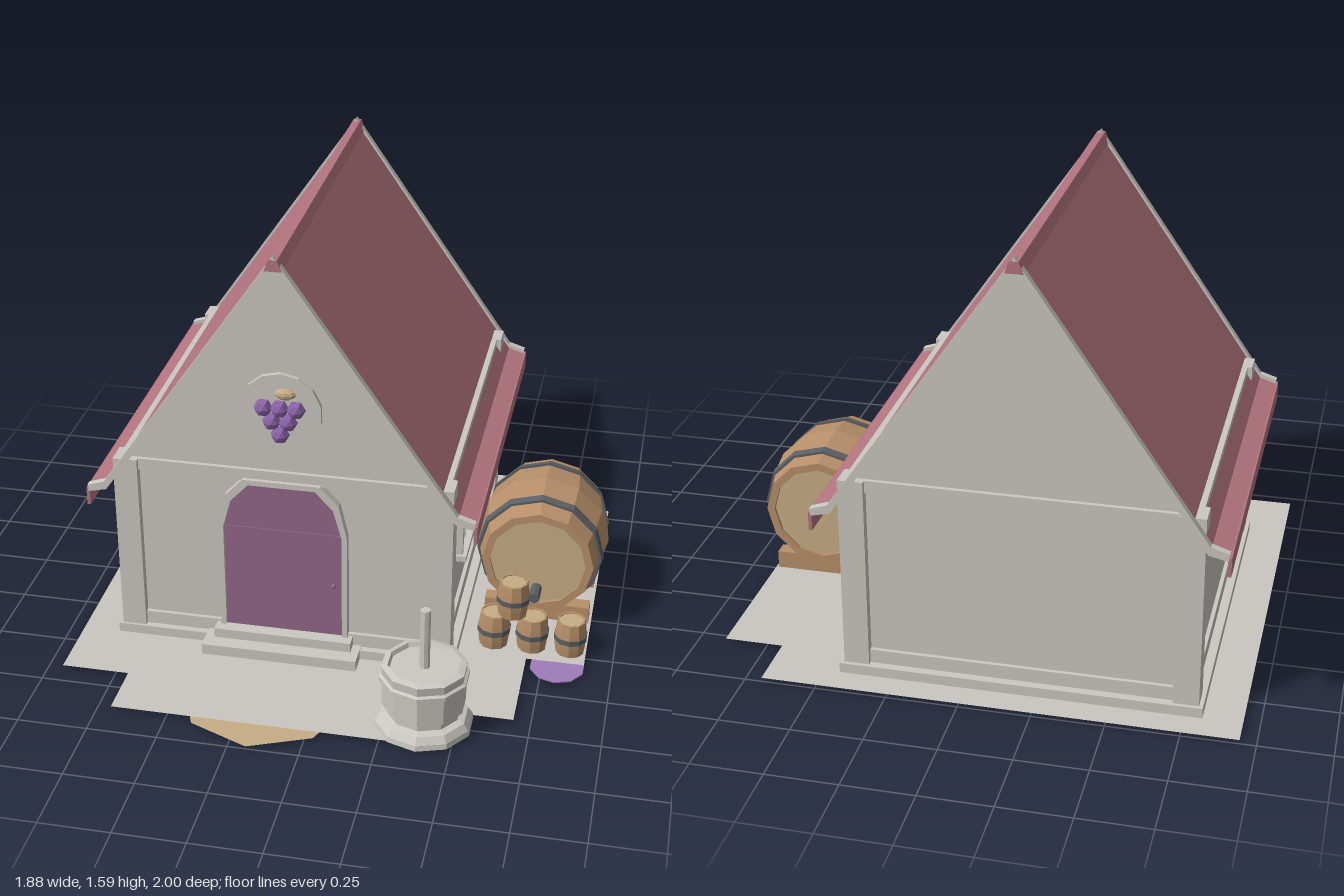
import * as THREE from 'three';

const CX = -0.185, CZ = -0.235; // house centre

export function createModel() {
  const root = new THREE.Group();
  root.name = 'wineryHouse';
  const mat = (name, color, extra = {}) => {
    const m = new THREE.MeshStandardMaterial({ color, flatShading: true, ...extra });
    m.name = name;
    return m;
  };
  const stone = mat('stone', 0xccc8c2);
  const ground = mat('ground', 0xcac6c0, { side: THREE.DoubleSide });
  const roofRed = mat('roofRed', 0xb4757f);
  const doorPurple = mat('doorPurple', 0x936789);
  const grape = mat('grape', 0x8a62a5);
  const wood = mat('wood', 0xb8906a);
  const tan = mat('tan', 0xc8ad86);
  const iron = mat('iron', 0x5c5f63);
  const wine = mat('wine', 0xa07cba);

  const add = (name, geo, m, x = 0, y = 0, z = 0, parent = root) => {
    const mesh = new THREE.Mesh(geo, m);
    mesh.name = name;
    mesh.position.set(x, y, z);
    parent.add(mesh);
    return mesh;
  };
  // box from its minimum and maximum corners
  const box = (name, m, x0, x1, y0, y1, z0, z1, parent = root) =>
    add(name, new THREE.BoxGeometry(x1 - x0, y1 - y0, z1 - z0), m,
      (x0 + x1) / 2, (y0 + y1) / 2, (z0 + z1) / 2, parent);
  const shapeOf = pts => new THREE.Shape(pts.map(p => new THREE.Vector2(...p)));
  // outline in x and y, extruded from z0 to z1
  const slab = (name, m, pts, z0, z1, parent = root) =>
    add(name, new THREE.ExtrudeGeometry(shapeOf(pts), { depth: z1 - z0, bevelEnabled: false }),
      m, 0, 0, z0, parent);
  const lathe = (pts, n) => new THREE.LatheGeometry(pts.map(p => new THREE.Vector2(...p)), n);

  // paved ground with stepped corners
  const paving = new THREE.ShapeGeometry(shapeOf([
    [-0.945, 1], [0.69, 1], [0.69, 0.79], [0.9, 0.79], [0.9, -0.31], [0.69, -0.31],
    [0.69, -0.68], [0.45, -0.68], [0.45, -0.88], [-0.7, -0.88], [-0.7, -0.68], [-0.945, -0.68]]));
  paving.rotateX(-Math.PI / 2);
  add('paving', paving, ground, 0, 0.014, 0);
  add('doormat', new THREE.CylinderGeometry(0.305, 0.29, 0.01, 8), tan, CX, 0.005, 0.695);
  add('winePuddle', new THREE.CylinderGeometry(0.1, 0.1, 0.005, 10), wine, 0.805, 0.0095, 0.33);

  // house, built around its own centre line
  const house = new THREE.Group();
  house.name = 'house';
  house.position.set(CX, 0, CZ);
  root.add(house);
  box('walls', stone, -0.58, 0.58, 0.012, 0.745, -0.625, 0.625, house);
  slab('gables', stone, [[-0.56, 0.745], [0.56, 0.745], [0, 1.53]], -0.625, 0.625, house);
  box('plinth', stone, -0.625, 0.625, 0.012, 0.05, -0.67, 0.665, house);
  for (const [y0, y1] of [[0.05, 0.1], [0.7, 0.745]]) {
    box('sideRails', stone, -0.594, 0.594, y0, y1, -0.61, 0.61, house);
    box('endRails', stone, -0.56, 0.56, y0, y1, -0.64, 0.64, house);
  }
  for (const s of [-1, 1]) for (const t of [-1, 1])
    box('cornerPost', stone, s * 0.567 - 0.044, s * 0.567 + 0.044, 0.05, 0.745,
      t * 0.613 - 0.043, t * 0.613 + 0.043, house);

  // roof with flared eaves; bargeboards at both ends
  const roofOutline = (lift, t) => {
    const half = [[0, 1.59], [0.632, 0.675], [0.694, 0.655], [0.69, 0.63], [0.625, 0.645], [0, 1.59 - t]];
    const top = half.slice(0, 3).map(([x, y]) => [x, y + lift]);
    const low = half.slice(3);
    return [...top, ...low, ...[...low].reverse().slice(1).map(([x, y]) => [-x, y]),
      ...[...top].reverse().slice(0, 2).map(([x, y]) => [-x, y])];
  };
  slab('roof', roofRed, roofOutline(-0.015, 0.045), -0.68, 0.68, house);
  for (const z of [-0.705, 0.678]) slab('bargeboard', stone, roofOutline(0, 0.06), z, z + 0.027, house);
  slab('ridgeCap', roofRed, [[-0.03, 1.535], [0.03, 1.535], [0.015, 1.575], [-0.015, 1.575]]
    .map(([x, y]) => [x, y + 0.003]), -0.709, 0.709, house);
  for (const s of [-1, 1])
    box('eavesFascia', roofRed, s * 0.694 - 0.006, s * 0.694 + 0.006, 0.573, 0.64, -0.7, 0.7, house);

  // arched door in a stone surround
  const arch = (w, top, y0) => [[-w, y0], [w, y0], [w, 0.51], [w - 0.03, top - 0.07],
    [w - 0.095, top], [0.095 - w, top], [0.03 - w, top - 0.07], [-w, 0.51]];
  const surround = shapeOf(arch(0.235, 0.71, 0.09));
  surround.holes.push(new THREE.Path(arch(0.215, 0.69, 0.09).map(p => new THREE.Vector2(...p))));
  add('doorSurround', new THREE.ExtrudeGeometry(surround, { depth: 0.045, bevelEnabled: false }),
    stone, 0, 0, 0.61, house);
  slab('door', doorPurple, arch(0.215, 0.69, 0.09), 0.61, 0.643, house);
  box('doorBar', doorPurple, -0.215, 0.215, 0.505, 0.513, 0.64, 0.647, house);
  add('doorKnob', new THREE.SphereGeometry(0.009, 8, 6), doorPurple, 0.185, 0.305, 0.65, house);
  box('lowerStep', stone, -0.287, 0.283, 0.012, 0.055, 0.62, 0.745, house);
  box('upperStep', stone, -0.253, 0.253, 0.05, 0.092, 0.62, 0.69, house);

  // round plaque with a bunch of grapes
  const disc = (r, h, n) => new THREE.CylinderGeometry(r, r, h, n).rotateX(Math.PI / 2);
  add('plaque', disc(0.147, 0.02, 14), stone, 0, 0.985, 0.632, house);
  for (let row = 0; row < 3; row++) for (let i = 0; i < 3 - row; i++)
    add('grapeBerry', new THREE.SphereGeometry(0.034, 6, 4).rotateX(Math.PI / 2), grape,
      (i - (2 - row) / 2) * 0.058, 1.004 - row * 0.05, 0.65, house);
  add('grapeStem', new THREE.SphereGeometry(0.038, 8, 6).scale(1, 0.55, 0.5), tan, 0.02, 1.06, 0.648, house);

  // two windows in the right-hand wall
  for (const c of [-0.22, 0.22]) {
    const win = new THREE.Group();
    win.name = 'window';
    win.position.set(0.58, 0, c);
    house.add(win);
    box('sill', stone, 0, 0.04, 0.28, 0.302, -0.14, 0.14, win);
    box('lintel', stone, 0, 0.035, 0.575, 0.6, -0.135, 0.135, win);
    for (const z of [-0.115, 0, 0.115])
      box('upright', stone, 0, z ? 0.025 : 0.015, 0.302, 0.575, z - 0.012, z + 0.012, win);
    box('crossbar', stone, 0, 0.015, 0.43, 0.45, -0.115, 0.115, win);
  }

  // barrel standing on its end, with hoops at the given heights
  const barrel = (name, rEnd, rMid, h, n, hoops, hoopH, inset) => {
    const g = new THREE.Group();
    g.name = name;
    const H = h / 2, rim = rEnd * 0.86;
    const rAt = y => rMid - (rMid - rEnd) * Math.pow(Math.abs(y) / H, 1.5);
    const side = [-H, -H / 2, 0, H / 2, H].map(y => [rAt(y), y]);
    add('staves', lathe([[rim, -H + inset], [rim, -H], ...side, [rim, H], [rim, H - inset]], n), wood, 0, 0, 0, g);
    for (const s of [-1, 1]) {
      const lid = add('lid', new THREE.CircleGeometry(rim, n, Math.PI / 2), tan, 0, s * (H - inset), 0, g);
      lid.rotation.x = -s * Math.PI / 2;
    }
    for (const y of hoops) {
      const a = y - hoopH / 2, b = y + hoopH / 2, e = rMid * 0.035;
      add('hoop', lathe([[rAt(a) - e, a], [rAt(a) + e, a], [rAt(b) + e, b], [rAt(b) - e, b]], n), iron, 0, 0, 0, g);
    }
    root.add(g);
    return g;
  };

  // large barrel on its side, with bearers and tap
  const big = barrel('largeBarrel', 0.205, 0.243, 0.42, 12, [-0.14, 0.13], 0.028, 0.012);
  big.rotation.x = Math.PI / 2;
  big.position.set(0.695, 0.293, -0.11);
  for (const z of [0.012, -0.235]) box('barrelBearer', wood, 0.5, 0.89, 0.01, 0.08, z - 0.028, z + 0.028);
  add('tap', disc(0.02, 0.08, 8), iron, 0.695, 0.18, 0.125);

  // small barrels, one stacked on the others
  for (const [x, y] of [[0.56, 0.08], [0.7, 0.08], [0.84, 0.08], [0.625, 0.217]])
    barrel('smallBarrel', 0.052, 0.06, 0.137, 10, [0], 0.02, 0.004).position.set(x, y, 0.225);

  // stone press with a round pole
  add('press', lathe([[0, 0.01], [0.175, 0.01], [0.172, 0.03], [0.155, 0.055], [0.13, 0.062],
    [0.13, 0.09], [0.147, 0.095], [0.147, 0.19], [0.157, 0.197], [0.157, 0.212], [0.147, 0.218],
    [0.15, 0.25], [0.128, 0.256], [0.122, 0.24], [0, 0.24]], 10), stone, 0.385, 0, 0.74);
  add('pressPole', new THREE.CylinderGeometry(0.018, 0.018, 0.23, 8), stone, 0.385, 0.355, 0.74);

  return root;
}
